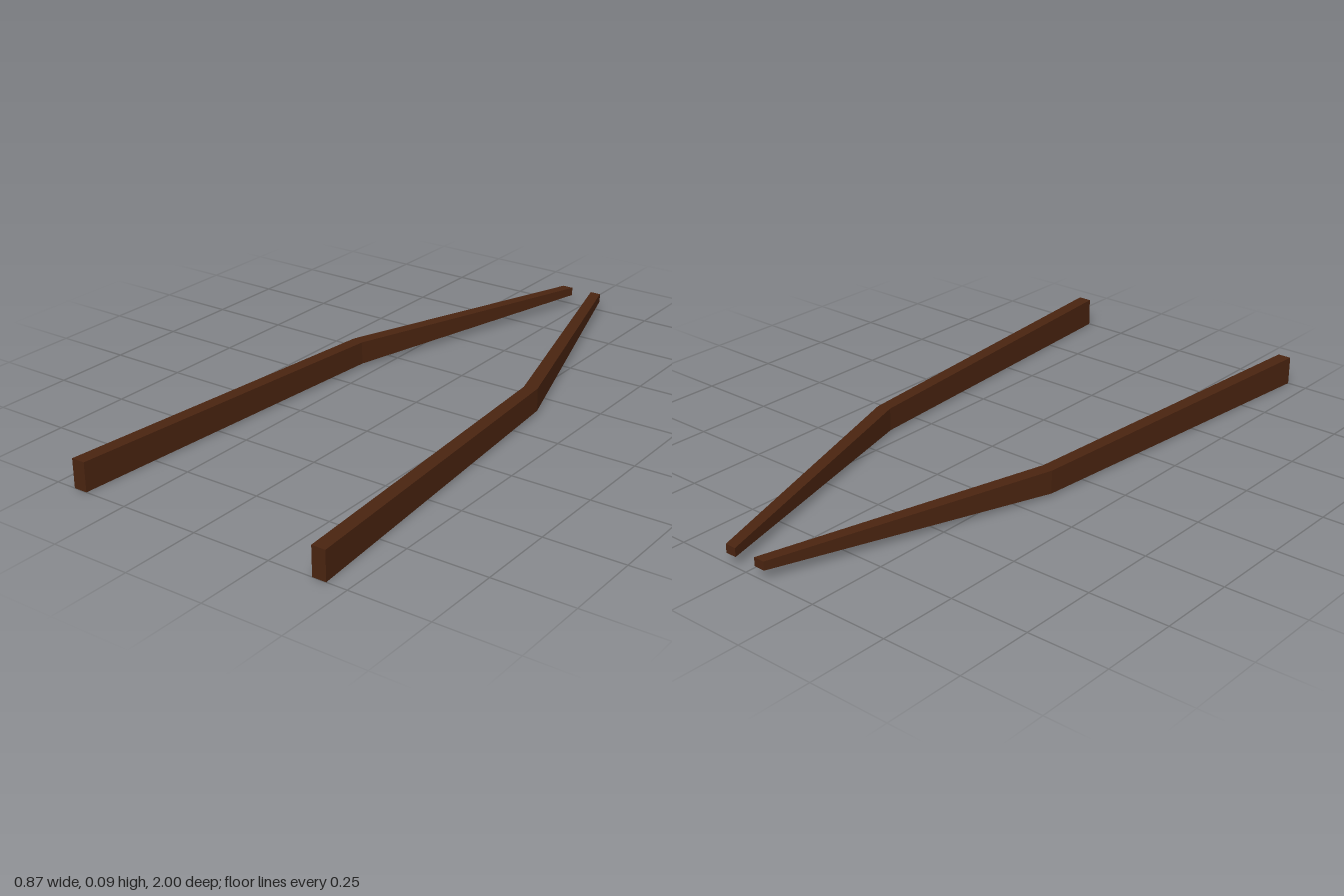
import * as THREE from 'three';

// Cross-sections from front to back: inner/outer x and z, bottom and top y
const SECTIONS = [
  { inner: [0.391, 1.0], outer: [0.435, 1.0], y: [0, 0.091] },
  { inner: [0.302, -0.13], outer: [0.343, -0.142], y: [0.009, 0.082] },
  { inner: [0.037, -1.0], outer: [0.073, -1.0], y: [0.032, 0.059] },
];

// One bent, tapering bar; side is +1 for left, -1 for right
function makeArm(side, material) {
  const geometry = new THREE.BoxGeometry(1, 1, 1, 1, 1, 2).toNonIndexed();
  const pos = geometry.attributes.position;
  for (let i = 0; i < pos.count; i++) {
    const section = SECTIONS[Math.round(1 - 2 * pos.getZ(i))];
    const [x, z] = pos.getX(i) * side > 0 ? section.outer : section.inner;
    pos.setXYZ(i, side * x, section.y[pos.getY(i) > 0 ? 1 : 0], z);
  }
  geometry.computeVertexNormals();
  return new THREE.Mesh(geometry, material);
}

export function createModel() {
  const group = new THREE.Group();
  group.name = 'bentArms';
  const darkWood = new THREE.MeshStandardMaterial({ color: 0x4a2410 });
  darkWood.name = 'dark brown wood';

  for (const side of [1, -1]) {
    const arm = makeArm(side, darkWood);
    arm.name = side > 0 ? 'leftArm' : 'rightArm';
    group.add(arm);
  }
  return group;
}
